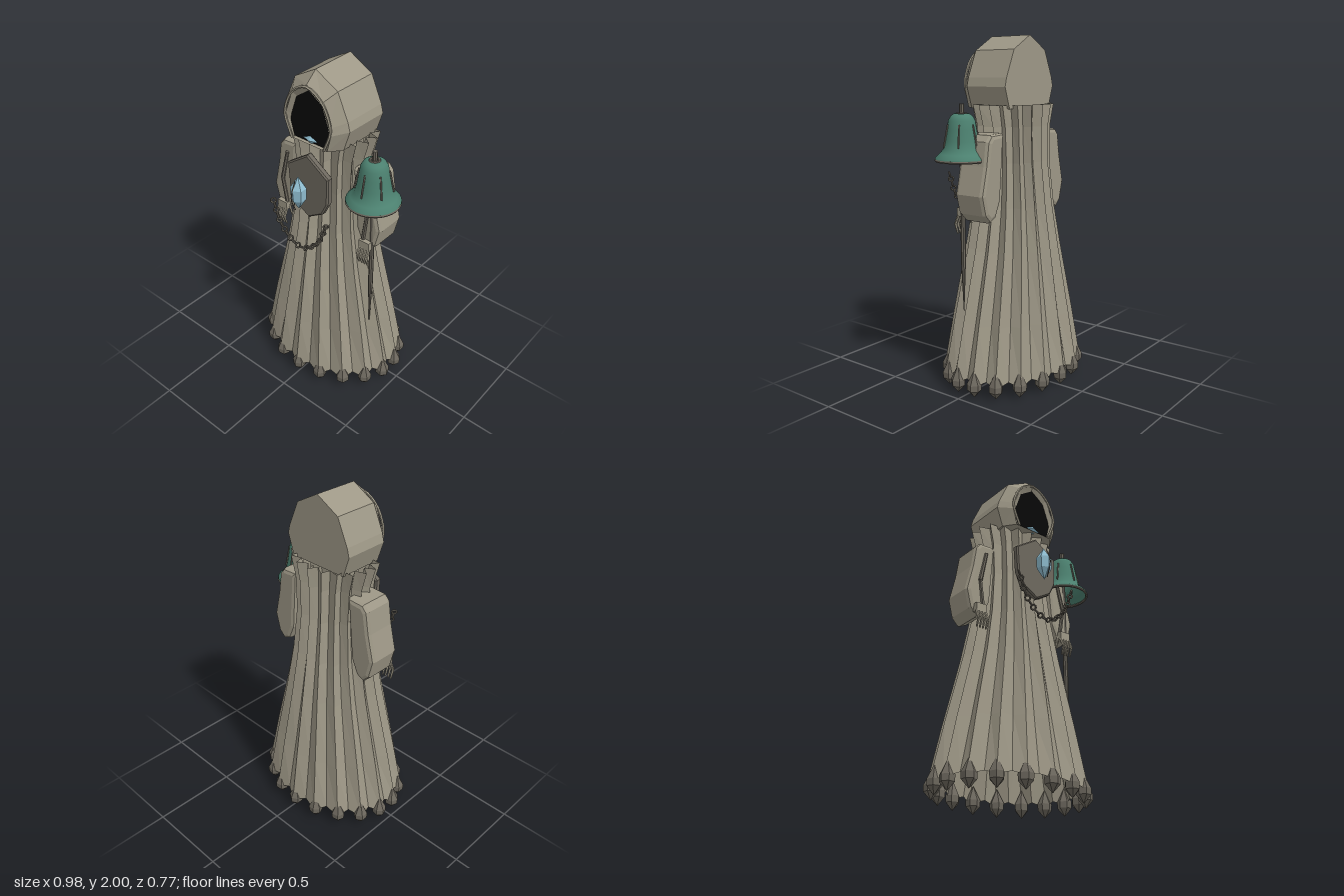
import * as THREE from 'three';

const mat = (name, color, double = false) => {
  const m = new THREE.MeshStandardMaterial({ color, flatShading: true, side: double ? THREE.DoubleSide : THREE.FrontSide });
  m.name = name;
  return m;
};

export function createModel() {
  const cloth = mat('cloth', 0x9d9786, true);
  const iron = mat('iron', 0x6d685e, true);
  const bronze = mat('patina', 0x4c8170, true);
  bronze.flatShading = false;
  const crystal = mat('crystal', 0x8fbdd0);
  const shadow = mat('void', 0x080808, true);

  const model = new THREE.Group();
  const add = (name, geo, material, x = 0, y = 0, z = 0, parent = model) => {
    const m = new THREE.Mesh(geo, material);
    m.name = name;
    m.position.set(x, y, z);
    parent.add(m);
    return m;
  };
  // straight rod between two points
  const rod = (name, a, b, r0, r1, material, sides = 6, parent = model) => {
    const p = new THREE.Vector3(...a), q = new THREE.Vector3(...b);
    const m = add(name, new THREE.CylinderGeometry(r1, r0, p.distanceTo(q), sides), material, 0, 0, 0, parent);
    m.position.copy(p).lerp(q, 0.5);
    m.quaternion.setFromUnitVectors(new THREE.Vector3(0, 1, 0), q.sub(p).normalize());
    return m;
  };
  // surface skinned over equal-length closed rings of points
  const loft = (rings) => {
    const n = rings[0].length, pos = [], idx = [];
    rings.forEach(r => r.forEach(p => pos.push(...p)));
    for (let i = 0; i < rings.length - 1; i++) for (let j = 0; j < n; j++) {
      const a = i * n + j, b = i * n + (j + 1) % n;
      idx.push(a, b, a + n, b, b + n, a + n);
    }
    const g = new THREE.BufferGeometry();
    g.setAttribute('position', new THREE.Float32BufferAttribute(pos, 3));
    g.setIndex(idx);
    g.computeVertexNormals();
    return g;
  };

  // pleated robe: y, x radius, z radius, valley ratio
  const PLEATS = 18, cx = -0.01;
  const profile = [
    [0.07, 0.475, 0.372, 0.9], [0.4, 0.4, 0.325, 0.88], [0.8, 0.3, 0.265, 0.86], [1.05, 0.25, 0.228, 0.84],
    [1.3, 0.225, 0.2, 0.82], [1.5, 0.235, 0.197, 0.8], [1.62, 0.27, 0.208, 0.79],
  ];
  const robe = profile.map(([y, rx, rz, v], i) => Array.from({ length: PLEATS * 2 }, (_, j) => {
    const t = -j * Math.PI / PLEATS, s = j % 2 ? v : 1;
    return [cx + Math.sin(t) * rx * s, y + (i === 0 && j % 2 ? 0.025 : 0), -Math.cos(t) * rz * s];
  }));
  add('robe', loft(robe), cloth);

  // faceted weights around the hem
  const weightGeo = new THREE.LatheGeometry(
    [[0, 0], [0.04, 0.045], [0.042, 0.08], [0, 0.165]].map(p => new THREE.Vector2(...p)), 6);
  for (let i = 0; i < PLEATS; i++) {
    const t = i * Math.PI * 2 / PLEATS;
    add('hemWeight', weightGeo, iron, cx + Math.sin(t) * 0.447, 0.005, -Math.cos(t) * 0.342).rotation.y = -t;
  }

  // hood: outline swept back to front, tucked in around the opening
  const outline = [[0, 0.4], [-0.145, 0.32], [-0.212, 0.17], [-0.225, 0.12], [-0.185, 0],
    [0.185, 0], [0.225, 0.12], [0.212, 0.17], [0.145, 0.32]];
  const ring = (z, sx, sy) => outline.map(([x, y]) => [x * sx - 0.003, 1.6 + y * sy, z]);
  add('hood', loft([ring(-0.12, 0.02, 0.02), ring(-0.12, 1, 1), ring(0.15, 0.99, 0.99),
    ring(0.22, 0.7, 0.84), ring(0.2, 0.58, 0.75)]), cloth);
  const backShape = new THREE.Shape(outline.map(([x, y]) => new THREE.Vector2(x, y)));
  add('hoodBack', new THREE.ShapeGeometry(backShape), cloth, -0.003, 1.6, -0.121);
  add('hoodVoid', new THREE.ShapeGeometry(backShape), shadow, -0.003, 1.605, 0.204).scale.set(0.59, 0.74, 1);
  const rimPts = [[-0.11, 0], [-0.155, 0.12], [-0.15, 0.17], [-0.1, 0.27], [0, 0.325], [0.1, 0.27], [0.15, 0.17],
    [0.155, 0.12], [0.11, 0]].map(([x, y]) => new THREE.Vector3(x - 0.003, 1.6 + y, 0.222));
  add('hoodRim', new THREE.TubeGeometry(new THREE.CatmullRomCurve3(rimPts), 24, 0.008, 5), cloth);
  const clasp = add('collarCrystal', new THREE.OctahedronGeometry(0.06), crystal, 0, 1.62, 0.2);
  clasp.scale.set(1, 0.45, 0.35);

  // sleeves, forearms and hands
  const sleeveShape = new THREE.Shape([[0.2, 1.47], [0.305, 1.465], [0.335, 1.43], [0.355, 1.3], [0.393, 1.14],
    [0.365, 1.03], [0.32, 0.985], [0.27, 1.01], [0.23, 1.1]].map(p => new THREE.Vector2(...p)));
  const sleeveGeo = new THREE.ExtrudeGeometry(sleeveShape, {
    depth: 0.15, bevelEnabled: true, bevelThickness: 0.025, bevelSize: 0.025, bevelOffset: -0.025, bevelSegments: 2 });
  for (const s of [-1, 1]) {
    const arm = new THREE.Group();
    arm.name = s > 0 ? 'leftArm' : 'rightArm';
    model.add(arm);
    const sleeve = add('sleeve', sleeveGeo, cloth, 0, 0, -0.075, arm);
    if (s < 0) { sleeve.rotation.y = Math.PI; sleeve.position.z = 0.075; }
    rod('upperArm', [s * 0.268, 1.4, 0.105], [s * 0.31, 1.21, 0.11], 0.01, 0.012, iron, 6, arm);
    rod('forearm', [s * 0.31, 1.21, 0.11], [s * 0.285, 1.05, 0.105], 0.01, 0.012, iron, 6, arm);
    add('palm', new THREE.BoxGeometry(0.07, 0.05, 0.035), cloth, s * 0.308, 1.03, 0.11, arm);
    for (let i = 0; i < 4; i++) {
      const x = s * (0.279 + i * 0.02);
      rod('finger', [x, 1.01, 0.12], [x, 0.955, 0.145], 0.009, 0.008, cloth, 5, arm);
      rod('fingertip', [x, 0.96, 0.144], [x, 0.905, 0.125], 0.008, 0.005, cloth, 5, arm);
    }
    rod('thumb', [s * 0.275, 1.03, 0.1], [s * 0.265, 0.96, 0.09], 0.01, 0.006, cloth, 5, arm);
  }

  // staff and bell
  const bx = 0.337, bz = 0.09;
  rod('staff', [bx, 0.75, bz], [bx, 1.63, bz], 0.014, 0.014, iron, 8);
  rod('staffTip', [bx, 0.46, bz], [bx, 0.75, bz], 0.002, 0.014, iron, 8);
  const bell = [[0.145, 1.325], [0.15, 1.335], [0.125, 1.36], [0.103, 1.385], [0.092, 1.43], [0.082, 1.49],
    [0.074, 1.54], [0.06, 1.565], [0.04, 1.578], [0.026, 1.575]].map(p => new THREE.Vector2(...p));
  add('bell', new THREE.LatheGeometry(bell, 32), bronze, bx, 0, bz);
  const lip = add('bellLip', new THREE.TorusGeometry(0.144, 0.008, 6, 32), iron, bx, 1.324, bz);
  lip.rotation.x = Math.PI / 2;
  const crown = add('bellCrown', new THREE.TorusGeometry(0.025, 0.008, 6, 16), iron, bx, 1.575, bz);
  crown.rotation.x = Math.PI / 2;
  for (let i = 0; i < 6; i++) {
    const a = i * Math.PI / 3 + Math.PI / 6 + Math.PI / 3, c = Math.cos(a), s = Math.sin(a);
    rod('bellRib', [bx + c * 0.106, 1.395, bz + s * 0.106], [bx + c * 0.08, 1.52, bz + s * 0.08], 0.005, 0.005, iron, 5);
  }

  // breastplate
  const plate = new THREE.Shape([[0, 1.54], [-0.145, 1.44], [-0.135, 1.28], [-0.1, 1.2], [0, 1.14],
    [0.1, 1.2], [0.14, 1.28], [0.145, 1.44]].map(p => new THREE.Vector2(...p)));
  add('breastplate', new THREE.ExtrudeGeometry(plate, {
    depth: 0.025, bevelEnabled: true, bevelThickness: 0.008, bevelSize: 0.008, bevelOffset: -0.008, bevelSegments: 1,
  }), iron, 0, 0, 0.203);

  // hanging crystal with its wire guard
  add('pendantCrystal', new THREE.LatheGeometry(
    [[0, 1.235], [0.042, 1.3], [0.045, 1.37], [0, 1.44]].map(p => new THREE.Vector2(...p)), 6), crystal, -0.003, 0, 0.305);
  const guard = [[1.42, 0.33], [1.33, 0.362], [1.24, 0.332]].map(([y, z]) => new THREE.Vector3(-0.003, y, z));
  add('pendantGuard', new THREE.TubeGeometry(new THREE.CatmullRomCurve3(guard), 8, 0.003, 5), iron);

  // bead chain
  const chain = new THREE.CatmullRomCurve3([[-0.19, 1.21], [-0.14, 1.08], [-0.06, 1.0], [0, 0.98], [0.06, 1.0],
    [0.14, 1.08], [0.195, 1.21]].map(([x, y]) => new THREE.Vector3(x, y, 0.312)));
  const BEADS = 21;
  const linkGeo = new THREE.TorusGeometry(0.014, 0.006, 5, 8);
  chain.getSpacedPoints(BEADS).forEach((p, i) => {
    const t = chain.getTangentAt(i / BEADS);
    const link = add('chainLink', linkGeo, iron, p.x, p.y, p.z);
    link.rotation.set(0, 0, Math.atan2(t.y, t.x));
    link.rotateX(i % 2 ? Math.PI / 4 : -Math.PI / 4);
  });

  return model;
}
